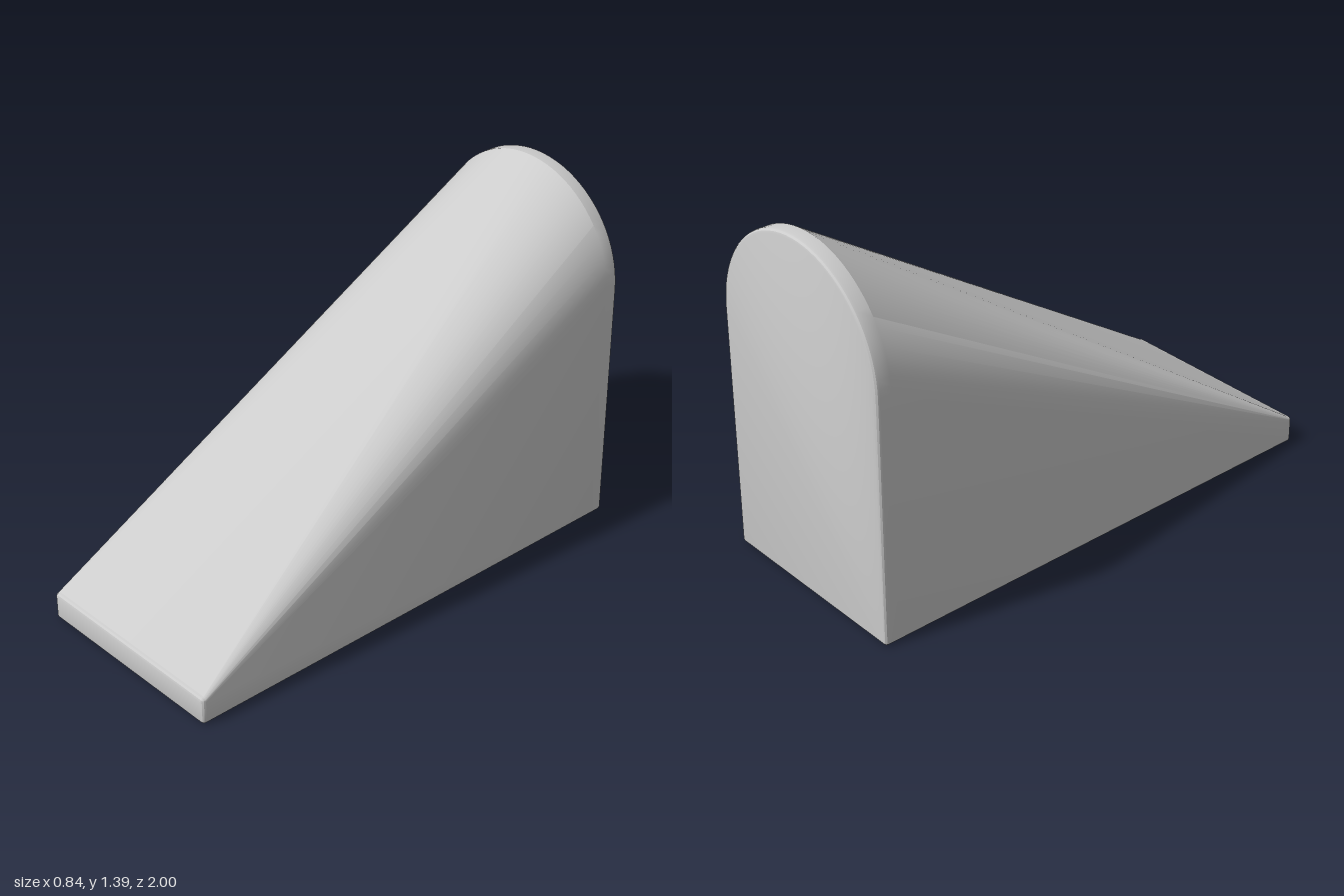
import * as THREE from 'three';
import { toCreasedNormals } from 'three/addons/utils/BufferGeometryUtils.js';

const HALF = 0.422;     // half width
const ARCH_Y = 0.967;   // centre height of the rear arch
const LIP = 0.11;       // height of the front edge
const R = 0.015;        // edge rounding
const ARC = 20;         // segments per quarter of the arch

// Counter-clockwise outline at depth z: a thin rectangle at the front, an arch at the rear
function outline(z, inset, front) {
  const pts = [];
  const corner = (cx, cy, radius, from, steps) => {
    for (let i = 0; i <= steps; i++) {
      const a = from + (i / steps) * Math.PI / 2;
      pts.push(new THREE.Vector3(cx + radius * Math.cos(a), cy + radius * Math.sin(a), z));
    }
  };
  const r = R - inset, w = HALF - R;
  corner(-w, R, r, Math.PI, 3);
  corner(w, R, r, -Math.PI / 2, 3);
  // Both halves of the arch shrink into the front corners
  for (const [side, from] of [[1, 0], [-1, Math.PI / 2]]) {
    if (front) corner(side * w, LIP - R, r, from, ARC);
    else corner(0, ARCH_Y, HALF - inset, from, ARC);
  }
  return pts;
}

function wedgeGeometry() {
  // Rear bevel, rear rim, sloping body, front bevel
  const rows = [], steps = 3;
  for (let i = 0; i <= steps; i++) {
    const a = (i / steps) * Math.PI / 2;
    rows.push(outline(-1 + R * (1 - Math.sin(a)), R * (1 - Math.cos(Math.PI / 2 - a)), false));
  }
  rows.push(outline(-0.94, 0, false));
  for (let i = 0; i <= steps; i++) {
    const a = (i / steps) * Math.PI / 2;
    rows.push(outline(1 - R + R * Math.sin(a), R * (1 - Math.cos(a)), true));
  }
  // The rear bevel runs from the inset cap out to the full outline
  for (let i = 0; i <= steps; i++) {
    const a = (i / steps) * Math.PI / 2;
    rows[i] = outline(-1 + R * (1 - Math.cos(a)), R * (1 - Math.sin(a)), false);
  }

  const pos = [], tri = new THREE.Triangle();
  const add = (a, b, c) => {
    if (tri.set(a, b, c).getArea() < 1e-9) return; // collapsed corners
    for (const p of [a, b, c]) pos.push(p.x, p.y, p.z);
  };
  const n = rows[0].length;
  for (let j = 0; j < rows.length - 1; j++) {
    for (let i = 0; i < n; i++) {
      const k = (i + 1) % n;
      add(rows[j][i], rows[j][k], rows[j + 1][k]);
      add(rows[j][i], rows[j + 1][k], rows[j + 1][i]);
    }
  }
  // Flat rear and front faces
  const back = rows[0], front = rows[rows.length - 1];
  for (let i = 1; i < n - 1; i++) {
    add(back[0], back[i + 1], back[i]);
    add(front[0], front[i], front[i + 1]);
  }
  const geo = new THREE.BufferGeometry();
  geo.setAttribute('position', new THREE.Float32BufferAttribute(pos, 3));
  return toCreasedNormals(geo, 0.3);
}

export function createModel() {
  const group = new THREE.Group();
  group.name = 'archedWedge';
  const body = new THREE.Mesh(wedgeGeometry(), new THREE.MeshStandardMaterial({ color: 0xcccccc }));
  body.name = 'wedgeBody';
  group.add(body);
  return group;
}
